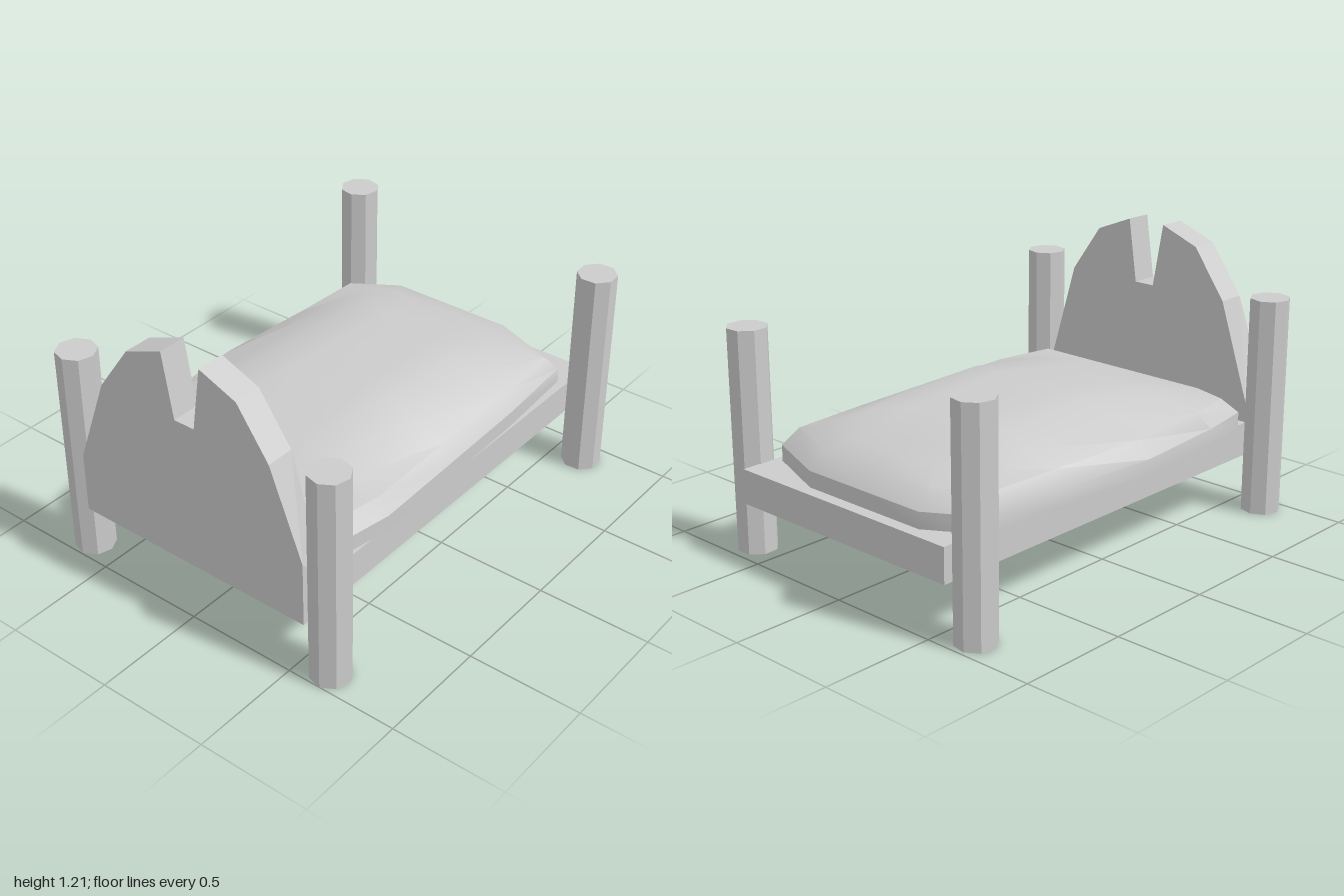
import * as THREE from 'three';
import { toCreasedNormals } from 'three/addons/utils/BufferGeometryUtils.js';

const flat = new THREE.MeshStandardMaterial({ color: 0xcccccc, flatShading: true });
const smooth = new THREE.MeshStandardMaterial({ color: 0xcccccc });

function addMesh(group, name, geometry, material = flat) {
  const mesh = new THREE.Mesh(geometry, material);
  mesh.name = name;
  group.add(mesh);
  return mesh;
}

// Linear interpolation through a list of [position, value] pairs
function profile(points, t) {
  if (t <= points[0][0]) return points[0][1];
  for (let i = 1; i < points.length; i++) {
    const [a, va] = points[i - 1], [b, vb] = points[i];
    if (t <= b) return va + (vb - va) * (t - a) / (b - a);
  }
  return points[points.length - 1][1];
}

// Notched headboard, its lower shoulders slightly narrower on the inner face
function headboardGeometry() {
  const outline = [
    [0.56, 0.25], [0.56, 0.54], [0.41, 0.925], [0.262, 1.135], [0.086, 1.205], [0.043, 0.922],
    [-0.055, 0.922], [-0.104, 1.205], [-0.286, 1.135], [-0.44, 0.92], [-0.59, 0.52], [-0.59, 0.25],
  ];
  const shape = new THREE.Shape(outline.map(([z, y]) => new THREE.Vector2(z, y)));
  const geo = new THREE.ExtrudeGeometry(shape, { depth: 0.125, bevelEnabled: false });
  const p = geo.attributes.position;
  for (let i = 0; i < p.count; i++) {
    const y = p.getY(i);
    if (p.getZ(i) < 0.01 && y > 0.5 && y < 0.6) p.setY(i, p.getX(i) > 0 ? 0.41 : 0.47);
  }
  geo.rotateY(-Math.PI / 2);
  geo.translate(-0.855, 0, 0);
  return geo;
}

// Mattress: rings from the bottom edge over the rounded rim to a domed top
function mattressGeometry() {
  // outer x, z and rim x, z around the edge
  const edge = [
    [-0.775, -0.605, -0.705, -0.56], [-0.52, -0.647, -0.476, -0.604], [-0.06, -0.685, -0.06, -0.636],
    [0.41, -0.647, 0.41, -0.604], [0.81, -0.63, 0.75, -0.588], [0.947, -0.405, 0.88, -0.39],
    [0.947, -0.1, 0.88, -0.1], [0.947, 0.21, 0.88, 0.19], [0.83, 0.52, 0.77, 0.477],
    [0.41, 0.55, 0.41, 0.5], [-0.04, 0.563, -0.04, 0.513], [-0.476, 0.575, -0.476, 0.525],
    [-0.82, 0.515, -0.75, 0.477], [-0.82, 0.02, -0.75, 0.02], [-0.82, -0.4, -0.75, -0.4],
  ];
  const ridge = [[-0.75, 0], [-0.476, 0.065], [-0.04, 0.128], [0.08, 0.13], [0.6, 0.09], [0.8, 0.025], [0.88, 0]];
  const across = [[-0.61, 0], [-0.33, 1], [0.25, 1], [0.52, 0]];
  const rings = [
    edge.map(([x, z]) => [x, 0.4, z]),
    edge.map(([x, z]) => [x, 0.47, z]),
  ];
  for (const s of [0, 0.22, 0.46, 0.72, 1]) {
    rings.push(edge.map(([, , rx, rz]) => {
      const x = THREE.MathUtils.lerp(rx, THREE.MathUtils.clamp(rx, -0.4, 0.41), s);
      const z = THREE.MathUtils.lerp(rz, -0.04, s);
      return [x, 0.54 + (s ? profile(ridge, x) * profile(across, z) : 0), z];
    }));
  }
  const n = edge.length, index = [];
  for (let r = 0; r < rings.length - 1; r++) {
    for (let i = 0; i < n; i++) {
      const a = r * n + i, b = r * n + (i + 1) % n;
      index.push(a, a + n, b + n, a, b + n, b);
    }
  }
  // underside
  const centre = rings.length * n;
  for (let i = 0; i < n; i++) index.push(centre, i, (i + 1) % n);
  const geo = new THREE.BufferGeometry();
  geo.setAttribute('position', new THREE.Float32BufferAttribute([...rings.flat(2), 0, 0.4, 0], 3));
  geo.setIndex(index);
  return toCreasedNormals(geo, 0.6);
}

export function createModel() {
  const bed = new THREE.Group();
  bed.name = 'bed';

  // Base slab
  const base = addMesh(bed, 'base', new THREE.BoxGeometry(1.855, 0.15, 1.15));
  base.position.set(0.0725, 0.325, -0.015);

  addMesh(bed, 'headboard', headboardGeometry());
  addMesh(bed, 'mattress', mattressGeometry(), smooth);

  // Corner posts, each turned a little differently
  const postGeo = new THREE.CylinderGeometry(0.087, 0.087, 0.965, 8);
  const posts = [
    ['backRightPost', -0.907, -0.65, 0.1], ['frontRightPost', -0.915, 0.637, 0.15],
    ['backLeftPost', 0.898, -0.65, 0.2], ['frontLeftPost', 0.886, 0.638, 0.45],
  ];
  for (const [name, x, z, turn] of posts) {
    const post = addMesh(bed, name, postGeo);
    post.position.set(x, 0.4825, z);
    post.rotation.y = turn;
  }
  return bed;
}
